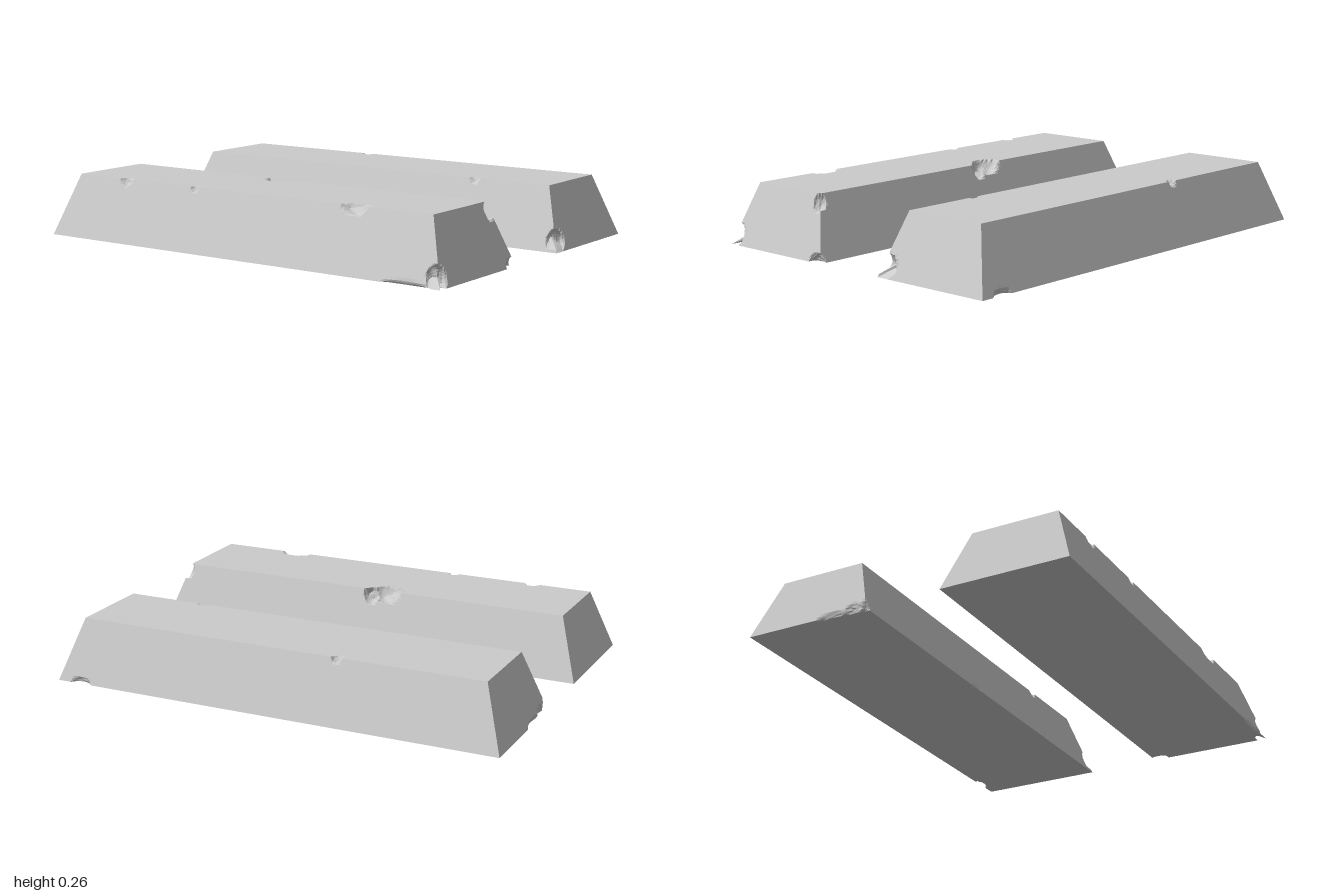
import * as THREE from 'three';

const H = 0.265, HALF_W = 0.28, INSET = 0.09;

// Chips: centre x, y, z, then radii in x, y, z
const RIGHT_CHIPS = [
  [-0.64, H, -0.64, 0.028, 0.03, 0.032],
  [-0.64, H, -0.26, 0.024, 0.022, 0.02],
  [-0.632, H, 0.55, 0.042, 0.04, 0.06],
  [-0.27, H, -0.09, 0.06, 0.06, 0.065],
  [-0.25, 0.24, -0.02, 0.04, 0.04, 0.035],
  [-0.255, 0.23, 0.922, 0.03, 0.04, 0.032],
  [-0.705, 0.045, 0.985, 0.04, 0.052, 0.06],
  [-0.73, 0, 0.84, 0.015, 0.02, 0.12],
  [-0.195, 0, 1, 0.042, 0.045, 0.04],
];
const LEFT_CHIPS = [
  [0.635, H, -0.27, 0.025, 0.024, 0.022],
  [0.255, H, 0.55, 0.02, 0.022, 0.024],
  [0.205, 0.05, 0.983, 0.052, 0.048, 0.045],
  [0.175, 0, -1, 0.03, 0.06, 0.03],
  [0.235, 0.01, -1, 0.04, 0.045, 0.025],
  [0.33, 0, -1, 0.07, 0.03, 0.017],
  [0.725, 0, 0.89, 0.018, 0.03, 0.05],
  [0.165, 0, -0.13, 0.01, 0.025, 0.04],
];

const uniform = (a, b, n) => Array.from({ length: n + 1 }, (_, i) => a + (b - a) * i / n);

// Lengthwise grid lines, dense only around the chips
function lengthLines(chips) {
  const all = [];
  for (const [, y, z, , , rz] of chips) {
    const centre = z / (1 - INSET * y / H);
    for (let k = -5; k <= 5; k++) all.push(centre + k * rz / 4);
  }
  const lines = [-1];
  for (const w of all.sort((a, b) => a - b)) {
    if (w - lines[lines.length - 1] > 0.006 && w < 0.994) lines.push(w);
  }
  return [...lines, 1];
}

// Push a surface point inside a chip onto the chip's far, rough wall
function carve(p, chips, cx) {
  for (const [x, y, z, rx, ry, rz] of chips) {
    const c = new THREE.Vector3(x, y, z), r = new THREE.Vector3(rx, ry, rz);
    const q = p.clone().sub(c).divide(r);
    if (q.lengthSq() >= 1) continue;
    const core = new THREE.Vector3(
      THREE.MathUtils.clamp(x, cx - 0.12, cx + 0.12), H / 2,
      THREE.MathUtils.clamp(z, -0.85, 0.85));
    const n = core.sub(c).divide(r).normalize();
    const d = q.dot(n);
    const depth = Math.sqrt(d * d - q.lengthSq() + 1) - d;
    const rough = 0.88 + 0.12 * Math.sin(q.x * 5 + x * 40) * Math.cos(q.z * 5 + q.y * 4 + z * 30);
    p.copy(q.addScaledVector(n, depth * rough).multiply(r).add(c));
  }
  return p;
}

// A tapered block with broken edges
function createBlock(cx, chips) {
  const us = uniform(-1, 1, 40), vs = uniform(0, 1, 20), ws = lengthLines(chips);
  const positions = [];
  const point = (u, v, w) => carve(new THREE.Vector3(
    cx + u * (HALF_W - INSET * v), H * v, w * (1 - INSET * v)), chips, cx);

  function face(as, bs, toPoint) {
    const grid = as.map(a => bs.map(b => toPoint(a, b).toArray()));
    for (let i = 0; i < as.length - 1; i++) {
      for (let j = 0; j < bs.length - 1; j++) {
        const a = grid[i][j], b = grid[i + 1][j], c = grid[i + 1][j + 1], d = grid[i][j + 1];
        positions.push(...a, ...b, ...c, ...a, ...c, ...d);
      }
    }
  }
  face(ws, us, (w, u) => point(u, 1, w));   // top
  face(us, ws, (u, w) => point(u, 0, w));   // bottom
  face(vs, ws, (v, w) => point(1, v, w));   // left side
  face(ws, vs, (w, v) => point(-1, v, w));  // right side
  face(us, vs, (u, v) => point(u, v, 1));   // front
  face(vs, us, (v, u) => point(u, v, -1));  // back

  const geometry = new THREE.BufferGeometry();
  geometry.setAttribute('position', new THREE.Float32BufferAttribute(positions, 3));
  geometry.computeVertexNormals();
  return geometry;
}

export function createModel() {
  const group = new THREE.Group();
  group.name = 'chippedBlocks';
  const material = new THREE.MeshStandardMaterial({ color: 0xcccccc, flatShading: true });
  for (const [name, cx, chips] of [
    ['rightBlock', -0.447, RIGHT_CHIPS],
    ['leftBlock', 0.447, LEFT_CHIPS],
  ]) {
    const block = new THREE.Mesh(createBlock(cx, chips), material);
    block.name = name;
    group.add(block);
  }
  return group;
}
